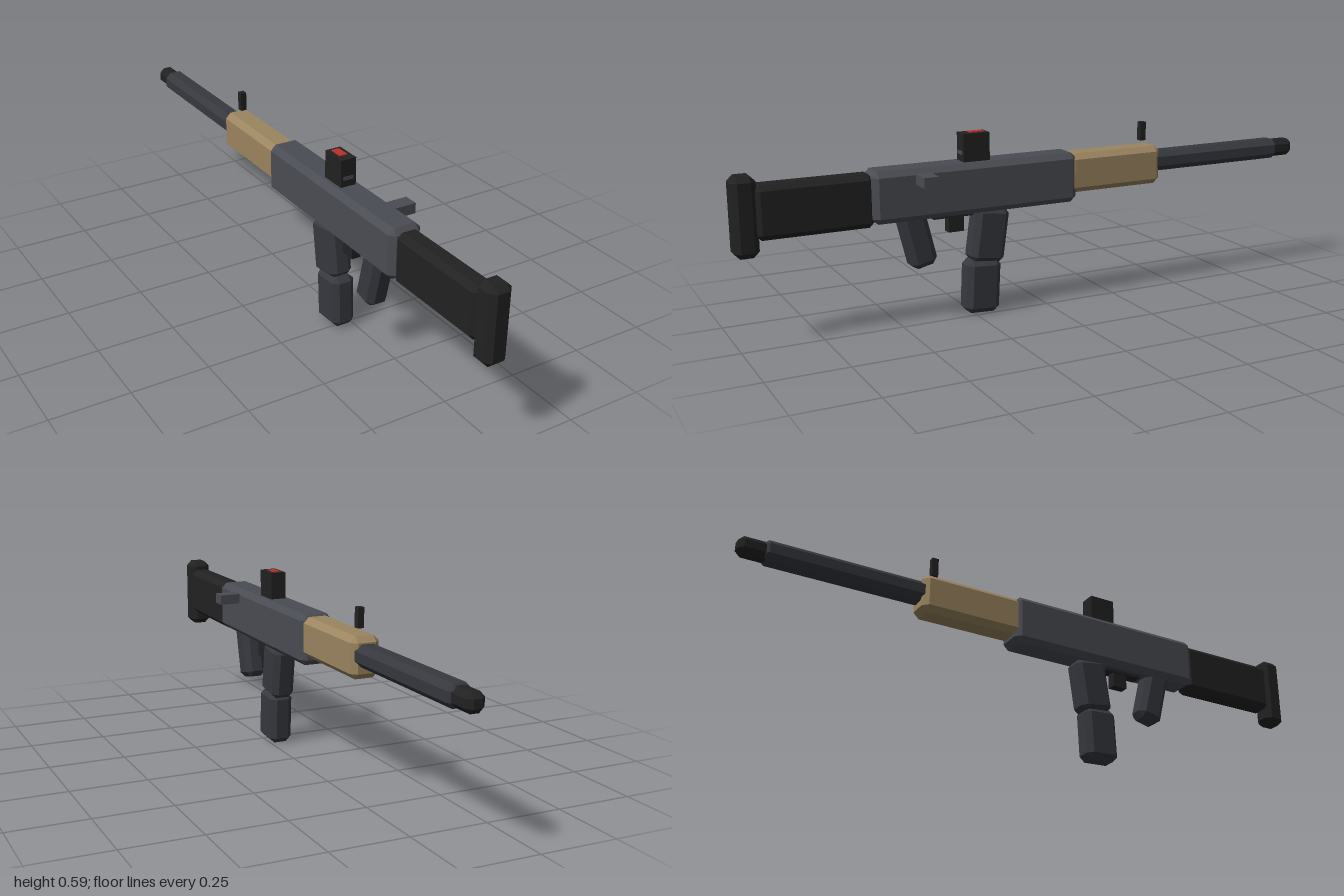
import * as THREE from 'three';
import { ConvexGeometry } from 'three/addons/geometries/ConvexGeometry.js';

const CX = -0.035; // centre plane of the body

const material = (color) => new THREE.MeshStandardMaterial({ color, flatShading: true });
const steel = material(0x4a4c53);
const gunmetal = material(0x36383e);
const black = material(0x222223);
const tan = material(0x9c8560);
const red = material(0xb83228);

// Box with every edge and corner cut flat by c
function chamferBox(w, h, d, c) {
  const points = [];
  for (const sx of [-1, 1]) for (const sy of [-1, 1]) for (const sz of [-1, 1]) {
    for (let axis = 0; axis < 3; axis++) {
      const cut = [c, c, c];
      cut[axis] = 0; // this point lies on the face of that axis
      points.push(new THREE.Vector3(
        sx * (w / 2 - cut[0]), sy * (h / 2 - cut[1]), sz * (d / 2 - cut[2])));
    }
  }
  return new ConvexGeometry(points);
}

export function createModel() {
  const group = new THREE.Group();

  // Adds a block by its ranges [min, max]; tilt turns it about x
  function block(name, mat, [x0, x1], [y0, y1], [z0, z1], chamfer = 0, tilt = 0) {
    const size = [x1 - x0, y1 - y0, z1 - z0];
    const geometry = chamfer ? chamferBox(...size, chamfer) : new THREE.BoxGeometry(...size);
    const mesh = new THREE.Mesh(geometry, mat);
    mesh.name = name;
    mesh.position.set((x0 + x1) / 2, (y0 + y1) / 2, (z0 + z1) / 2);
    mesh.rotation.x = tilt;
    group.add(mesh);
  }
  const wide = (w) => [CX - w / 2, CX + w / 2];

  // Main body, from the shoulder end to the muzzle
  block('buttPlate', black, wide(0.075), [0.277, 0.52], [0.925, 1], 0.018);
  block('stock', black, wide(0.075), [0.325, 0.49], [0.575, 0.935], 0.017);
  block('receiver', steel, wide(0.108), [0.335, 0.497], [-0.105, 0.587], 0.018);
  block('handguard', tan, wide(0.094), [0.363, 0.491], [-0.427, -0.08], 0.018);
  block('barrel', gunmetal, wide(0.074), [0.402, 0.469], [-0.93, -0.4], 0.018);
  block('muzzle', black, wide(0.058), [0.406, 0.464], [-1, -0.9], 0.016);

  // Grip and two-part curved magazine
  block('grip', gunmetal, wide(0.074), [0.177, 0.377], [0.395, 0.482], 0.018, 0.24);
  block('magazineUpper', gunmetal, wide(0.078), [0.165, 0.345], [0.138, 0.254], 0.018, -0.14);
  block('magazineLower', gunmetal, wide(0.078), [0.002, 0.177], [0.163, 0.279], 0.018, -0.05);

  // Trigger under the receiver
  block('triggerPlate', black, wide(0.04), [0.325, 0.34], [0.25, 0.385]);
  block('trigger', black, wide(0.03), [0.277, 0.335], [0.282, 0.333]);

  // Charging handle on the left side
  block('chargingHandle', steel, [0, 0.088], [0.45, 0.483], [0.405, 0.453]);

  // Sights
  block('sightBody', black, wide(0.052), [0.49, 0.585], [0.195, 0.283]);
  block('sightMount', steel, wide(0.034), [0.519, 0.53], [0.25, 0.285]);
  block('sightWindow', red, wide(0.026), [0.57, 0.588], [0.208, 0.255]);
  block('frontSight', black, wide(0.02), [0.508, 0.57], [-0.387, -0.366]);

  return group;
}
